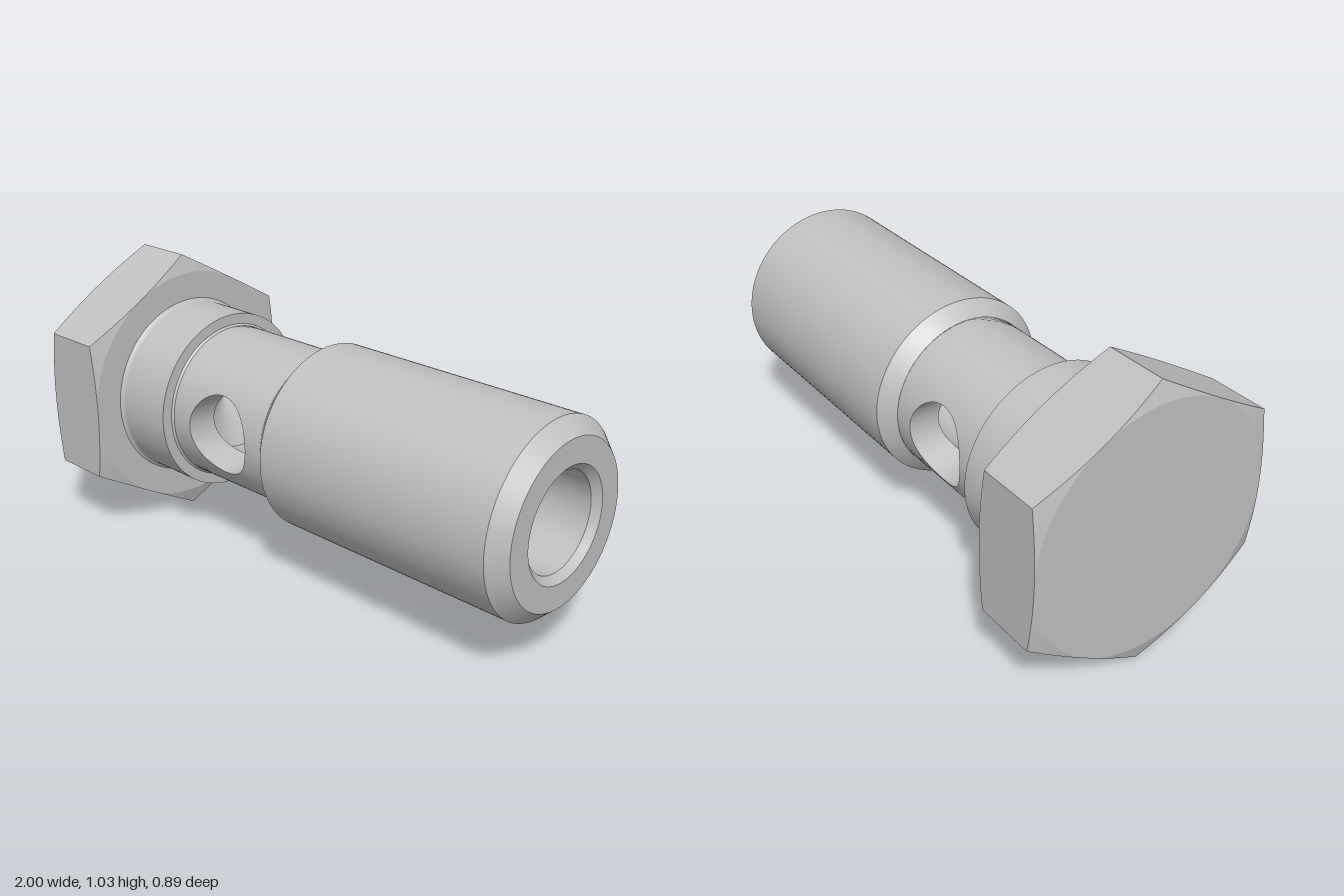
import * as THREE from 'three';
import { mergeGeometries } from 'three/addons/utils/BufferGeometryUtils.js';

const AXIS_Y = 0.513;   // height of the bolt axis
const APOTHEM = 0.444;  // half the width across the head's flats
const HOLE_X = -0.262, HOLE_R = 0.145;
const NECK_R = 0.285, BORE_R = 0.17;

// Turned surface about x from [x, radius] points, with a sharp edge at every point
function turned(points) {
  const bands = [];
  for (let i = 0; i < points.length - 1; i++) {
    const pair = [points[i], points[i + 1]].map(([x, r]) => new THREE.Vector2(r, x));
    bands.push(new THREE.LatheGeometry(pair, 96));
  }
  return mergeGeometries(bands).rotateZ(-Math.PI / 2);
}

// Hexagonal head: a turned profile whose rim is pushed out to the hexagon
function hexHead() {
  const x0 = -1, x1 = -0.735, segments = 96;
  const rows = [[0, x0], [APOTHEM, x0], [APOTHEM, x0], [APOTHEM, x1], [APOTHEM, x1], [0.33, x1]];
  const geo = new THREE.LatheGeometry(rows.map(([r, x]) => new THREE.Vector2(r, x)), segments);
  const pos = geo.attributes.position, sector = Math.PI / 3;
  for (let i = 0; i < pos.count; i++) {
    const row = i % rows.length;
    if (row !== 2 && row !== 3) continue;
    const phi = Math.floor(i / rows.length) / segments * Math.PI * 2;
    const r = APOTHEM / Math.cos(((phi + sector / 2) % sector) - sector / 2);
    const chamfer = (r - APOTHEM) * 0.32;
    pos.setXYZ(i, r * Math.sin(phi), row === 2 ? x0 + chamfer : x1 - chamfer, r * Math.cos(phi));
  }
  const flat = geo.toNonIndexed();
  flat.computeVertexNormals();
  return flat.rotateZ(-Math.PI / 2);
}

// Closed band of points: s runs 0..1 across, t runs once around
function band(fn, rings, flip) {
  const n = 96, verts = [], index = [];
  for (let i = 0; i <= rings; i++)
    for (let j = 0; j < n; j++) verts.push(...fn(i / rings, j / n * Math.PI * 2));
  for (let i = 0; i < rings; i++)
    for (let j = 0; j < n; j++) {
      const a = i * n + j, b = i * n + (j + 1) % n, c = a + n, d = b + n;
      if (flip) index.push(a, d, c, a, b, d);
      else index.push(a, c, d, a, d, b);
    }
  const geo = new THREE.BufferGeometry();
  geo.setAttribute('position', new THREE.Float32BufferAttribute(verts, 3));
  geo.setIndex(index);
  geo.computeVertexNormals();
  return geo;
}

// Half cylinder pierced by the round cross hole
function piercedHalf(radius, x0, x1, inward) {
  return band((s, t) => {
    const c = Math.cos(t), n = Math.sin(t), m = Math.max(Math.abs(c), Math.abs(n));
    const holeAngle = Math.asin(HOLE_R * n / radius);
    const edgeX = (x0 + x1) / 2 + c / m * (x1 - x0) / 2;
    const x = THREE.MathUtils.lerp(HOLE_X + HOLE_R * c, edgeX, s);
    const a = THREE.MathUtils.lerp(holeAngle, n / m * Math.PI / 2, s);
    return [x, radius * Math.sin(a), radius * Math.cos(a)];
  }, 14, inward);
}

// Wall of the cross hole between the neck and the bore
function holeWall() {
  return band((s, t) => {
    const y = HOLE_R * Math.sin(t);
    const z = THREE.MathUtils.lerp(Math.sqrt(NECK_R ** 2 - y * y), Math.sqrt(BORE_R ** 2 - y * y), s);
    return [HOLE_X + HOLE_R * Math.cos(t), y, z];
  }, 1, true);
}

export function createModel() {
  const steel = new THREE.MeshStandardMaterial({ color: 0xc0c0c0 });
  steel.name = 'steel';
  const model = new THREE.Group();
  model.name = 'hollowBolt';
  const add = (name, geo) => {
    const mesh = new THREE.Mesh(geo, steel);
    mesh.name = name;
    mesh.position.y = AXIS_Y;
    model.add(mesh);
  };

  add('hexHead', hexHead());
  // Collar with small fillets at the head and the neck
  add('collar', turned([[-0.735, 0.342], [-0.728, 0.334], [-0.72, 0.331], [-0.5, 0.331], [-0.5, 0.292], [-0.493, NECK_R]]));
  // Shank with bevelled ends, and the rim around its mouth
  add('shank', turned([[-0.04, NECK_R], [0.012, 0.335], [0.945, 0.335], [1, 0.283], [1, 0.195]]));
  // Blind bore with a countersunk mouth
  add('bore', turned([[1, 0.195], [0.975, BORE_R], [-0.04, BORE_R]]));
  add('boreEnd', turned([[-0.45, BORE_R], [-0.55, 0]]));

  // Pierced neck, the same on the front and the back
  for (const [side, turn] of [['front', 0], ['back', Math.PI]]) {
    add(side + 'Neck', piercedHalf(NECK_R, -0.5, -0.04, false).rotateX(turn));
    add(side + 'NeckBore', piercedHalf(BORE_R, -0.45, -0.04, true).rotateX(turn));
    add(side + 'HoleWall', holeWall().rotateX(turn));
  }
  return model;
}
